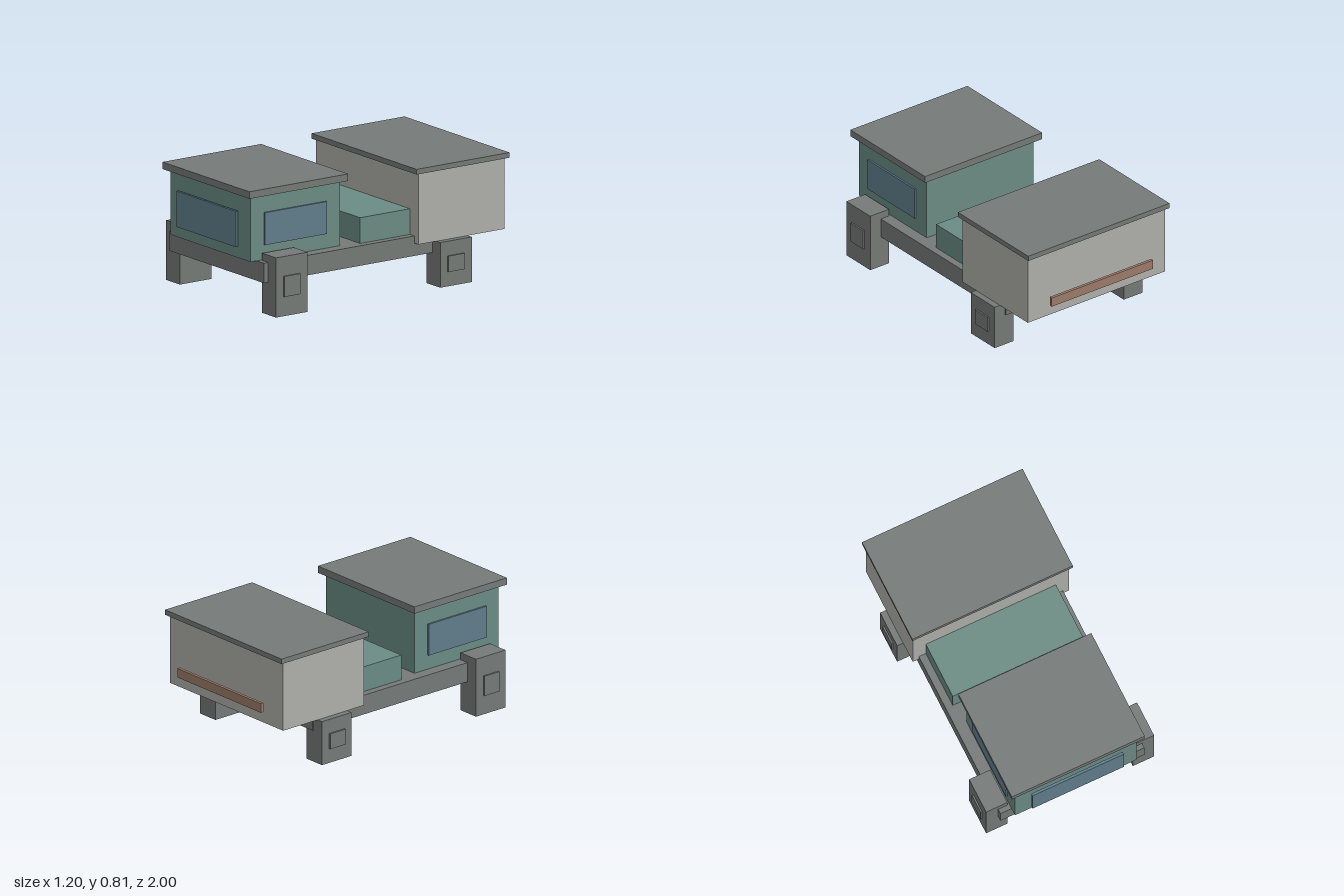
import * as THREE from 'three';

const mat = (name, color) => {
  const m = new THREE.MeshStandardMaterial({ color });
  m.name = name;
  return m;
};

export function createModel() {
  const group = new THREE.Group();
  const grey = mat('dark grey', 0x757a77);
  const teal = mat('teal paint', 0x6b8c84);
  const stone = mat('pale stone', 0xafafaa);
  const glass = mat('blue glass', 0x617e8c);
  const copper = mat('copper', 0x9c7c6a);

  // Box given by its limits on each axis
  const box = (name, material, [x0, x1], [y0, y1], [z0, z1]) => {
    const mesh = new THREE.Mesh(new THREE.BoxGeometry(x1 - x0, y1 - y0, z1 - z0), material);
    mesh.position.set((x0 + x1) / 2, (y0 + y1) / 2, (z0 + z1) / 2);
    mesh.name = name;
    group.add(mesh);
  };
  // Box centred across the model
  const centred = (name, material, half, y, z) => box(name, material, [-half, half], y, z);
  // Matching boxes on both sides
  const pair = (name, material, [x0, x1], y, z) => {
    box(name + 'Left', material, [x0, x1], y, z);
    box(name + 'Right', material, [-x1, -x0], y, z);
  };

  // Chassis and the low box behind the cab
  centred('chassis', grey, 0.507, [0.212, 0.342], [-0.657, 0.915]);
  centred('engineBox', teal, 0.458, [0.342, 0.51], [-0.27, 0.127]);

  // Cab
  centred('cab', teal, 0.428, [0.342, 0.77], [0.263, 0.965]);
  centred('cabRoof', grey, 0.468, [0.768, 0.814], [0.228, 1.0]);
  centred('windscreen', glass, 0.321, [0.421, 0.655], [0.982, 0.999]);
  pair('sideWindow', glass, [0.424, 0.44], [0.438, 0.65], [0.372, 0.858]);

  // Cargo body
  centred('cargoBody', stone, 0.549, [0.295, 0.76], [-0.938, -0.262]);
  centred('cargoRoof', grey, 0.565, [0.759, 0.793], [-0.964, -0.237]);
  centred('rearBar', copper, 0.405, [0.39, 0.452], [-1.0, -0.98]);

  // Square wheels with hubs
  pair('frontWheel', grey, [0.442, 0.591], [0, 0.39], [0.636, 0.882]);
  pair('frontHub', grey, [0.58, 0.602], [0.128, 0.262], [0.697, 0.825]);
  pair('rearWheel', grey, [0.442, 0.591], [0, 0.295], [-0.65, -0.403]);
  pair('rearHub', grey, [0.58, 0.602], [0.096, 0.2], [-0.59, -0.46]);

  return group;
}
